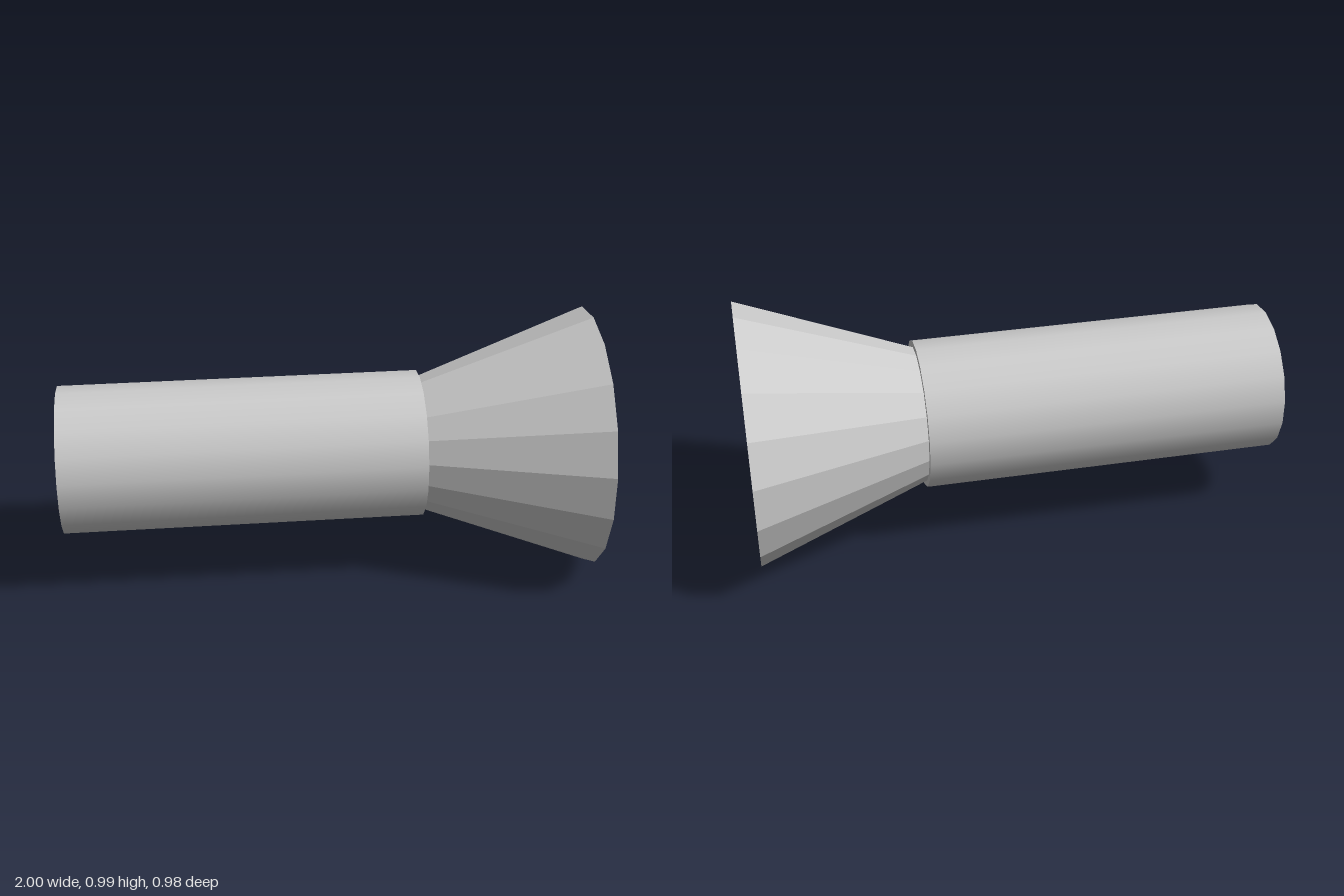
import * as THREE from 'three';

const SIDES = 18;
const AXIS_Y = 0.496;

// Lay a shape built around y along x, raised to the axis height
function layDown(geometry, x) {
  return geometry.rotateZ(-Math.PI / 2).translate(x, AXIS_Y, 0);
}

export function createModel() {
  const group = new THREE.Group();
  const add = (name, geometry, flatShading) => {
    const material = new THREE.MeshStandardMaterial({ color: 0xcccccc, flatShading });
    const mesh = new THREE.Mesh(geometry, material);
    mesh.name = name;
    group.add(mesh);
  };

  // Smooth handle tube with flat ends
  const start = -1, end = 0.354;
  const handle = new THREE.CylinderGeometry(0.28, 0.28, end - start, SIDES, 1, false, Math.PI / 2);
  add('handle', layDown(handle, (start + end) / 2), false);

  // Faceted flared head with a thin rim around the recess
  const length = 1 - end, recess = 0.02, rimInner = 0.47;
  const profile = [
    [0, 0], [0.256, 0], [0.496, length], [rimInner, length], [rimInner, length - recess],
  ].map(([r, h]) => new THREE.Vector2(r, h));
  add('head', layDown(new THREE.LatheGeometry(profile, SIDES, Math.PI / 2), end), true);

  // Flat lens set just inside the rim
  const lens = new THREE.CircleGeometry(rimInner, SIDES, Math.PI / 2);
  lens.rotateY(Math.PI / 2).translate(1 - recess, AXIS_Y, 0);
  add('lens', lens, true);

  return group;
}
